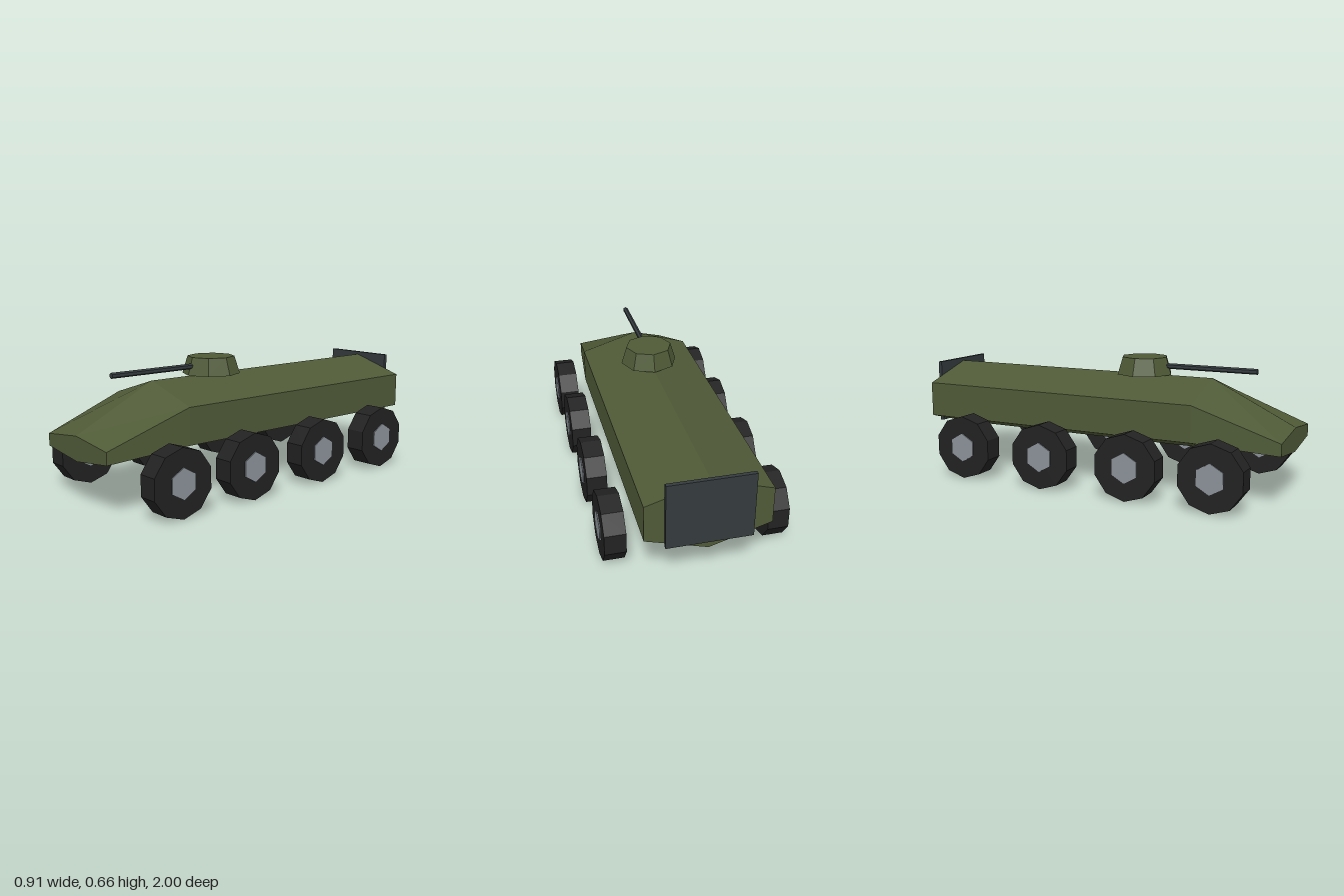
import * as THREE from 'three';

const mat = (name, color) => {
  const m = new THREE.MeshStandardMaterial({ color, flatShading: true });
  m.name = name;
  return m;
};

// Six-sided cross-section, counter-clockwise seen from the front
const section = (z, w, ridge, shoulder, sill, keel) => [
  [0, keel, z], [w, sill, z], [w, shoulder, z], [0, ridge, z], [-w, shoulder, z], [-w, sill, z],
];

// Skin consecutive sections (rear to front) and close both ends
function loft(sections) {
  const n = sections[0].length, index = [];
  for (let s = 0; s < sections.length - 1; s++) {
    for (let k = 0; k < n; k++) {
      const a = s * n + k, b = s * n + (k + 1) % n;
      index.push(a, b, b + n, a, b + n, a + n);
    }
  }
  const last = (sections.length - 1) * n;
  for (let k = 1; k < n - 1; k++) {
    index.push(0, k + 1, k, last, last + k, last + k + 1);
  }
  const g = new THREE.BufferGeometry();
  g.setAttribute('position', new THREE.Float32BufferAttribute(sections.flat(2), 3));
  g.setIndex(index);
  const flat = g.toNonIndexed();
  flat.computeVertexNormals();
  return flat;
}

export function createModel() {
  const model = new THREE.Group();
  model.name = 'armouredCarrier';
  const olive = mat('olive armour', 0x4f5a37);
  const steel = mat('dark steel', 0x343a3d);
  const rubber = mat('black rubber', 0x222222);
  const grey = mat('grey hub', 0x8a9298);

  const add = (name, geometry, material, x = 0, y = 0, z = 0, parent = model) => {
    const mesh = new THREE.Mesh(geometry, material);
    mesh.name = name;
    mesh.position.set(x, y, z);
    parent.add(mesh);
    return mesh;
  };

  // Hull with a sloping, narrowing nose
  add('hull', loft([
    section(-0.98, 0.298, 0.565, 0.474, 0.29, 0.2),
    section(0.566, 0.298, 0.565, 0.474, 0.29, 0.2),
    section(1, 0.256, 0.352, 0.322, 0.261, 0.23),
  ]), olive);

  // Rear door plate
  add('rearPlate', new THREE.BoxGeometry(0.41, 0.335, 0.02), steel, 0, 0.413, -0.99);

  // Turret and gun
  add('turret', new THREE.CylinderGeometry(0.122, 0.15, 0.09, 8), olive, 0, 0.611, 0.19);
  const barrel = new THREE.CylinderGeometry(0.0145, 0.0145, 0.52, 6).rotateX(Math.PI / 2);
  add('gunBarrel', barrel, steel, 0, 0.612, 0.54);

  // Eight wheels, a vertex pointing straight up on tyre and hub
  const disc = (r, width, sides) =>
    new THREE.CylinderGeometry(r, r, width, sides).rotateX(Math.PI / 2).rotateY(Math.PI / 2);
  const tyre = disc(0.168, 0.104, 10);
  const hub = disc(0.076, 0.114, 6);
  for (const side of [1, -1]) {
    [0.723, 0.287, -0.192, -0.667].forEach((z, i) => {
      const wheel = new THREE.Group();
      wheel.name = `${side > 0 ? 'left' : 'right'}Wheel${i + 1}`;
      wheel.position.set(side * 0.396, 0.168, z);
      add('tyre', tyre, rubber, 0, 0, 0, wheel);
      add('hub', hub, grey, 0, 0, 0, wheel);
      model.add(wheel);
    });
  }
  return model;
}
